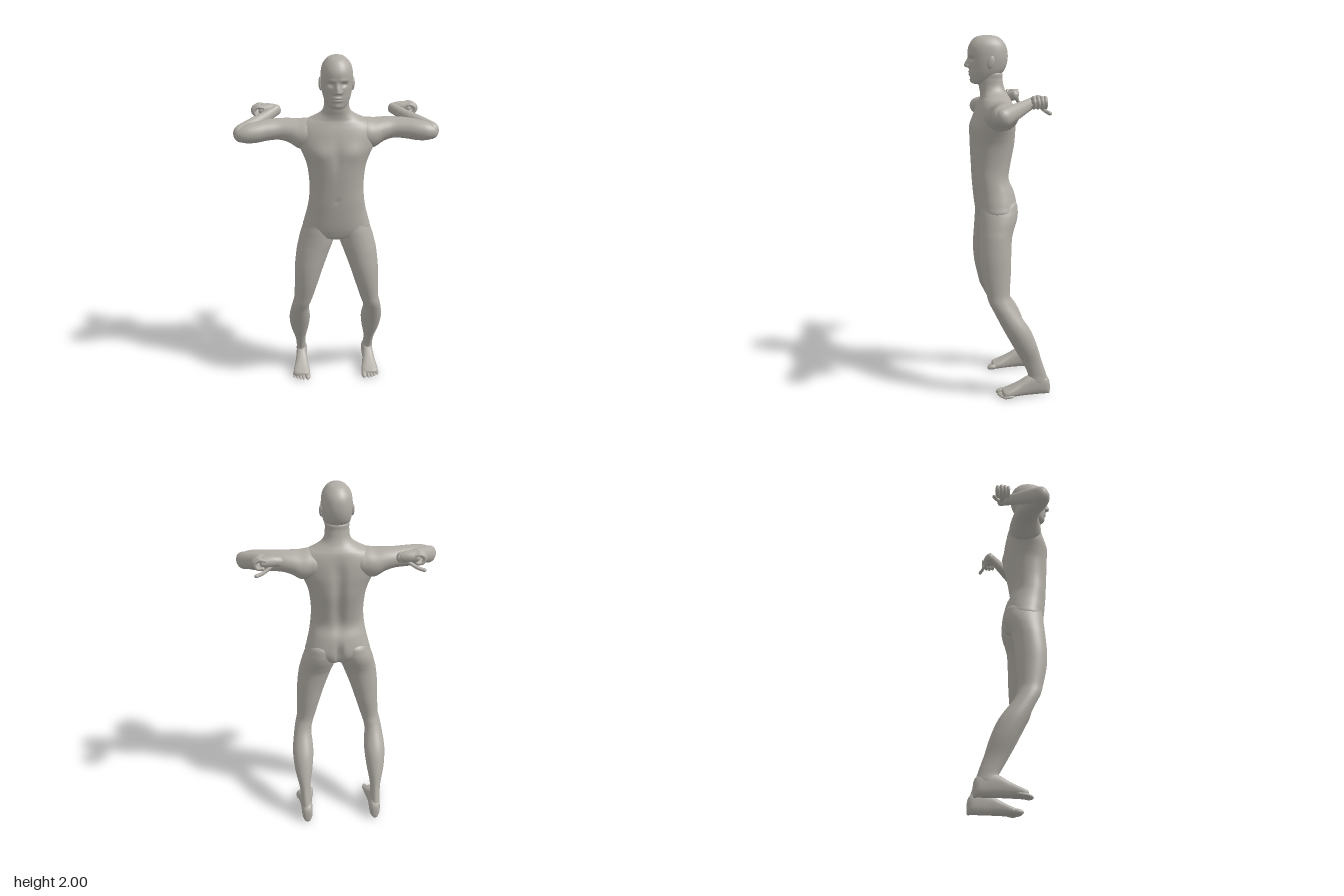
import * as THREE from 'three';

const V = (x, y, z) => new THREE.Vector3(x, y, z);
const X = V(1, 0, 0), Y = V(0, 1, 0), Z = V(0, 0, 1);
const bell = (d, w) => Math.exp(-(d * d) / (w * w));
const ramp = (v, a, b) => THREE.MathUtils.smoothstep(v, a, b);

// Smooth curve through the rows of a cross-section table
function resample(rows, steps) {
  const out = [], last = rows.length - 1;
  const at = i => rows[Math.max(0, Math.min(last, i))];
  for (let i = 0; i < last; i++) {
    for (let s = 0; s < steps; s++) {
      const t = s / steps, t2 = t * t, t3 = t2 * t;
      out.push(rows[i].map((_, k) => {
        const [a, b, c, d] = [at(i - 1)[k], at(i)[k], at(i + 1)[k], at(i + 2)[k]];
        return 0.5 * (2 * b + (c - a) * t + (2 * a - 5 * b + 4 * c - d) * t2 + (3 * b - a - 3 * c + d) * t3);
      }));
    }
  }
  out.push(rows[last]);
  return out;
}

// Skin over rings; each row is [x, y, z, radius along A, radius along B]
function loft(table, A, B, { seg = 40, steps = 6, power = 2, warp } = {}) {
  const rows = resample(table, steps), pos = [], idx = [];
  const first = table[0], end = table[table.length - 1];
  const along = V(end[0] - first[0], end[1] - first[1], end[2] - first[2]);
  const turn = A.clone().cross(B).dot(along) < 0 ? -1 : 1;
  const round = v => Math.sign(v) * Math.pow(Math.abs(v), 2 / power);
  rows.forEach(([x, y, z, ra, rb], i) => {
    for (let j = 0; j < seg; j++) {
      const t = (j / seg) * Math.PI * 2;
      const p = V(x, y, z)
        .addScaledVector(A, Math.max(0, ra) * round(Math.cos(t)))
        .addScaledVector(B, Math.max(0, rb) * round(Math.sin(t)) * turn);
      if (warp) warp(p);
      pos.push(p.x, p.y, p.z);
      if (i < rows.length - 1) {
        const a = i * seg + j, b = i * seg + (j + 1) % seg;
        idx.push(a, b, b + seg, a, b + seg, a + seg);
      }
    }
  });
  const g = new THREE.BufferGeometry();
  g.setAttribute('position', new THREE.Float32BufferAttribute(pos, 3));
  g.setIndex(idx);
  g.computeVertexNormals();
  return g;
}

// Upright slices: [y, centre x, half width, front z, back z]
const slices = (rows, opt) =>
  loft(rows.map(([y, cx, rx, f, b]) => [cx, y, (f + b) / 2, rx, (f - b) / 2]), X, Z, opt);

function ellipsoid(x, y, z, rx, ry, rz, tilt = 0) {
  return new THREE.SphereGeometry(1, 24, 16).scale(rx, ry, rz).rotateX(tilt).translate(x, y, z);
}

function mirrored(geo) {
  const g = geo.clone().scale(-1, 1, 1), a = g.index.array;
  for (let i = 0; i < a.length; i += 3) [a[i + 1], a[i + 2]] = [a[i + 2], a[i + 1]];
  g.computeVertexNormals();
  return g;
}

export function createModel() {
  const model = new THREE.Group();
  model.name = 'standingFigure';
  const skin = new THREE.MeshStandardMaterial({ color: 0xb0aca5 });
  skin.name = 'warmGrey';
  const add = (name, geo) => {
    const m = new THREE.Mesh(geo, skin);
    m.name = name;
    model.add(m);
  };
  const pair = (name, geo) => {
    add(name + 'Left', geo);
    add(name + 'Right', mirrored(geo));
  };

  // Torso and neck, with spine groove, chest and navel
  add('torso', slices([
    [0.967, 0, 0, 0.06, 0.06], [0.98, 0, 0.05, 0.12, 0.0], [1.0, 0, 0.12, 0.15, -0.035],
    [1.035, 0, 0.183, 0.163, -0.056], [1.08, 0, 0.178, 0.172, -0.06], [1.15, 0, 0.161, 0.18, -0.045],
    [1.22, 0, 0.15, 0.186, -0.018], [1.3, 0, 0.146, 0.19, -0.028], [1.4, 0, 0.156, 0.195, -0.047],
    [1.46, 0, 0.174, 0.194, -0.052], [1.52, 0, 0.2, 0.187, -0.053], [1.58, 0, 0.212, 0.17, -0.047],
    [1.62, 0, 0.2, 0.156, -0.039], [1.65, 0, 0.165, 0.143, -0.03], [1.67, 0, 0.122, 0.136, -0.02],
    [1.695, 0, 0.083, 0.137, -0.005], [1.725, 0, 0.067, 0.143, 0.007], [1.765, 0, 0.064, 0.145, 0.015],
    [1.8, 0, 0.06, 0.13, 0.02], [1.81, 0, 0, 0.08, 0.08],
  ], {
    seg: 80, power: 2.25, warp: p => {
      const front = ramp(p.z, 0.07, 0.14), back = 1 - ramp(p.z, -0.03, 0.04), ax = Math.abs(p.x);
      const spine = ramp(p.y, 1.12, 1.3) * (1 - ramp(p.y, 1.52, 1.66));
      p.z += back * (0.02 * bell(p.x, 0.03) * spine + 0.035 * bell(p.x, 0.016) * bell(p.y - 1.05, 0.06));
      p.z += front * (0.009 * bell(ax - 0.085, 0.055) * bell(p.y - 1.5, 0.045)
        - 0.007 * bell(p.x, 0.018) * bell(p.y - 1.48, 0.08)
        - 0.007 * bell(p.x, 0.008) * bell(p.y - 1.235, 0.011));
    },
  }));

  // Head with modelled brow, sockets, nose, lips and chin
  add('head', slices([
    [2.0, 0, 0, 0.1, 0.1], [1.995, 0, 0.028, 0.14, 0.057], [1.983, 0, 0.05, 0.168, 0.028],
    [1.955, 0, 0.072, 0.191, 0.002], [1.92, 0, 0.081, 0.203, -0.012], [1.87, 0, 0.083, 0.2, -0.014],
    [1.82, 0, 0.077, 0.196, 0.0], [1.785, 0, 0.067, 0.193, 0.028], [1.755, 0, 0.052, 0.187, 0.06],
    [1.741, 0, 0.034, 0.176, 0.09], [1.735, 0, 0, 0.135, 0.135],
  ], {
    seg: 120, steps: 12, power: 2.15, warp: p => {
      const front = ramp(p.z, 0.1, 0.16), ax = Math.abs(p.x);
      const ridge = ramp(p.y, 1.822, 1.834) * (1 - ramp(p.y, 1.838, 1.892));
      p.z += front * (0.026 * bell(p.x, 0.013) * ridge
        + 0.01 * bell(ax - 0.014, 0.008) * bell(p.y - 1.833, 0.008)
        - 0.013 * bell(ax - 0.033, 0.017) * bell(p.y - 1.872, 0.012)
        + 0.004 * bell(ax - 0.03, 0.025) * bell(p.y - 1.893, 0.009)
        + 0.007 * bell(p.x, 0.022) * (bell(p.y - 1.804, 0.006) + bell(p.y - 1.789, 0.006))
        + 0.005 * bell(p.x, 0.022) * bell(p.y - 1.757, 0.012));
    },
  }));
  pair('eye', ellipsoid(0.033, 1.872, 0.169, 0.012, 0.007, 0.011));
  pair('ear', ellipsoid(0.084, 1.855, 0.088, 0.009, 0.034, 0.019, -0.25));
  pair('earLobe', ellipsoid(0.079, 1.83, 0.096, 0.007, 0.012, 0.01));

  // Legs, slanting back below the knee
  pair('leg', slices([
    [1.13, 0.09, 0, 0.06, 0.06], [1.1, 0.09, 0.065, 0.14, -0.04], [1.05, 0.095, 0.088, 0.155, -0.056],
    [1.0, 0.105, 0.096, 0.158, -0.05], [0.95, 0.117, 0.097, 0.16, -0.032], [0.9, 0.132, 0.093, 0.162, -0.018],
    [0.8, 0.155, 0.081, 0.165, -0.01], [0.7, 0.172, 0.067, 0.156, -0.005], [0.6, 0.189, 0.054, 0.133, 0.003],
    [0.55, 0.202, 0.051, 0.119, -0.007], [0.5, 0.212, 0.051, 0.094, -0.032], [0.4, 0.215, 0.061, 0.044, -0.103],
    [0.3, 0.216, 0.052, -0.01, -0.146], [0.2, 0.213, 0.032, -0.065, -0.176], [0.12, 0.21, 0.028, -0.1, -0.203],
    [0.07, 0.208, 0.029, -0.1, -0.212], [0.04, 0.208, 0, -0.16, -0.16],
  ], { seg: 48 }));

  // Feet: [z, centre x, half width, top]
  pair('foot', loft([
    [-0.227, 0.205, 0, 0.06], [-0.222, 0.205, 0.018, 0.08], [-0.2, 0.205, 0.031, 0.108],
    [-0.15, 0.206, 0.033, 0.125], [-0.1, 0.208, 0.034, 0.112], [-0.05, 0.209, 0.04, 0.082],
    [0.0, 0.21, 0.049, 0.056], [0.03, 0.21, 0.049, 0.043], [0.045, 0.208, 0.036, 0.036], [0.052, 0.205, 0, 0.03],
  ].map(([z, x, w, top]) => [x, top / 2, z, w, w ? top / 2 : 0]), X, Y, { power: 2.5 }));
  for (let i = 0; i < 5; i++) {
    const r = i ? 0.0115 - i * 0.0006 : 0.016, x = i ? 0.181 + i * 0.0185 : 0.173;
    pair('toe' + (i + 1), ellipsoid(x, r + 0.001, 0.049 - i * i * 0.0014 - i * 0.002, r, r, 0.032, 0.12));
  }

  // Upper arms, held out sideways
  pair('upperArm', loft([
    [0.06, 1.585, 0.05, 0, 0], [0.1, 1.585, 0.05, 0.06, 0.075], [0.15, 1.578, 0.05, 0.08, 0.09],
    [0.2, 1.576, 0.046, 0.078, 0.089], [0.25, 1.592, 0.041, 0.064, 0.076], [0.3, 1.6, 0.041, 0.056, 0.067],
    [0.36, 1.6, 0.053, 0.055, 0.065], [0.42, 1.595, 0.073, 0.055, 0.062], [0.47, 1.592, 0.088, 0.05, 0.053],
    [0.51, 1.59, 0.094, 0.037, 0.038], [0.532, 1.59, 0.092, 0.02, 0.02], [0.538, 1.59, 0.09, 0, 0],
  ], Y, Z));

  // Forearms, folded back toward the head
  const elbow = V(0.505, 1.59, 0.088), wrist = V(0.322, 1.657, -0.1);
  const along = wrist.clone().sub(elbow).normalize();
  const side = along.clone().cross(Y).normalize(), lift = side.clone().cross(along);
  pair('forearm', loft([
    [-0.14, 0, 0], [-0.1, 0.022, 0.03], [0, 0.037, 0.046], [0.2, 0.037, 0.045], [0.4, 0.034, 0.041],
    [0.7, 0.027, 0.033], [0.95, 0.023, 0.029], [1.08, 0.02, 0.026], [1.14, 0, 0],
  ].map(([t, a, b]) => [...elbow.clone().lerp(wrist, t).toArray(), a, b]), side, lift));

  // Hands turned outward, fingers curled, thumb free
  pair('palm', loft([
    [0.297, 1.662, -0.108, 0, 0], [0.305, 1.662, -0.11, 0.019, 0.018], [0.335, 1.664, -0.113, 0.028, 0.026],
    [0.375, 1.664, -0.112, 0.03, 0.034], [0.405, 1.664, -0.11, 0.024, 0.036], [0.415, 1.664, -0.11, 0, 0],
  ], Y, Z));
  const tube = (pts, r) => new THREE.TubeGeometry(new THREE.CatmullRomCurve3(pts), 16, r, 10);
  for (let i = 0; i < 4; i++) {
    const z = -0.14 + i * 0.0195, reach = i === 0 || i === 3 ? -0.008 : 0;
    const tip = V(0.405 + reach, 1.636, z);
    pair('finger' + (i + 1), tube([V(0.38, 1.677, z), V(0.42 + reach, 1.683, z),
      V(0.444 + reach, 1.664, z), V(0.432 + reach, 1.638, z), tip], 0.0098));
    pair('fingertip' + (i + 1), ellipsoid(tip.x, tip.y, tip.z, 0.01, 0.0098, 0.0098));
  }
  pair('thumb', tube([V(0.34, 1.65, -0.118), V(0.375, 1.626, -0.135), V(0.405, 1.612, -0.15), V(0.43, 1.606, -0.16)], 0.0098));
  pair('thumbTip', ellipsoid(0.43, 1.606, -0.16, 0.012, 0.0098, 0.0105));

  return model;
}
